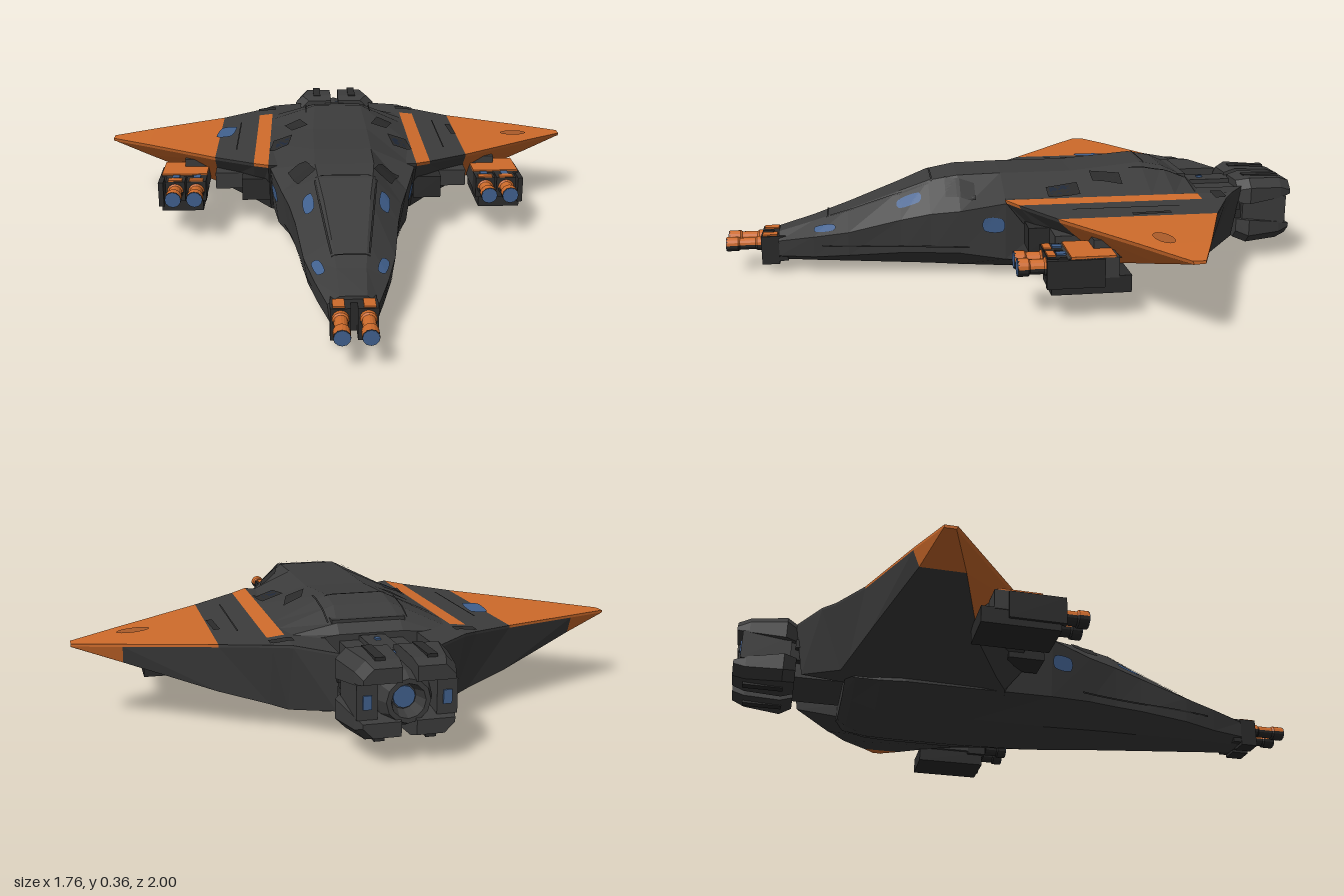
import * as THREE from 'three';

const paint = (name, color) => {
  const m = new THREE.MeshStandardMaterial({ color });
  m.name = name;
  return m;
};
const profile = pts => pts.map(p => new THREE.Vector2(...p));

export function createModel() {
  const ship = new THREE.Group();
  ship.name = 'spaceship';
  const grey = paint('hull grey', 0x3c3c3c);
  const dark = paint('dark metal', 0x2b2b2b);
  const orange = paint('orange paint', 0xcf6b2b);
  const blue = paint('blue glass', 0x41618f);
  const navy = paint('vent navy', 0x1f2838);
  const rust = paint('worn orange', 0xac5c2a);

  const add = (name, geo, mat, x = 0, y = 0, z = 0, parent = ship) => {
    const m = new THREE.Mesh(geo, mat);
    m.name = name;
    m.position.set(x, y, z);
    parent.add(m);
    return m;
  };
  const box = (name, mat, x, y, z, w, h, d) =>
    add(name, new THREE.BoxGeometry(w, h, d), mat, x, y, z);

  // Flat-faced closed loft; matAt(i, j) picks the colour of each face
  function loft(name, rings, matAt) {
    const buckets = new Map();
    let volume = 0;
    const tri = (m, a, b, c) => {
      if (!buckets.has(m)) buckets.set(m, []);
      buckets.get(m).push([a, b, c]);
      volume += a.dot(b.clone().cross(c));
    };
    const n = rings[0].length, last = rings.length - 1;
    for (let i = 0; i < last; i++)
      for (let j = 0; j < n; j++) {
        const k = (j + 1) % n, m = matAt(i, j);
        tri(m, rings[i][j], rings[i + 1][j], rings[i + 1][k]);
        tri(m, rings[i][j], rings[i + 1][k], rings[i][k]);
      }
    for (let j = 1; j < n - 1; j++) {
      tri(matAt(0, -1), rings[0][0], rings[0][j], rings[0][j + 1]);
      tri(matAt(last - 1, -1), rings[last][0], rings[last][j + 1], rings[last][j]);
    }
    const pts = [], geo = new THREE.BufferGeometry(), mats = [...buckets.keys()];
    mats.forEach((m, g) => {
      const tris = buckets.get(m);
      geo.addGroup(pts.length, tris.length * 3, g);
      for (const [a, b, c] of tris) pts.push(a, ...(volume > 0 ? [b, c] : [c, b]));
    });
    geo.setFromPoints(pts);
    geo.computeVertexNormals();
    return add(name, geo, mats);
  }

  // Fuselage: z, then half widths and heights from belly to roof
  const fuselage = loft('fuselage', [
    [0.82, 0.04, 0.04, 0.07, 0.06, 0.076, 0.115, 0.04, 0.14],
    [0.70, 0.055, 0.035, 0.1, 0.06, 0.113, 0.135, 0.045, 0.175],
    [0.58, 0.065, 0.03, 0.13, 0.07, 0.143, 0.155, 0.055, 0.215],
    [0.40, 0.08, 0.022, 0.155, 0.08, 0.168, 0.2, 0.075, 0.28],
    [0.30, 0.09, 0.018, 0.17, 0.08, 0.188, 0.222, 0.09, 0.318],
    [0.20, 0.1, 0.012, 0.19, 0.08, 0.214, 0.235, 0.1, 0.335],
    [0.05, 0.11, 0.004, 0.23, 0.065, 0.255, 0.268, 0.1, 0.338],
    [-0.20, 0.12, 0, 0.26, 0.05, 0.262, 0.282, 0.1, 0.338],
    [-0.45, 0.12, 0, 0.26, 0.05, 0.262, 0.282, 0.09, 0.36],
    [-0.53, 0.12, 0.002, 0.25, 0.05, 0.262, 0.282, 0.09, 0.345],
    [-0.61, 0.11, 0.03, 0.23, 0.06, 0.25, 0.278, 0.1, 0.308],
    [-0.64, 0.1, 0.05, 0.2, 0.08, 0.22, 0.268, 0.1, 0.28],
  ].map(([z, ...p]) => {
    const half = [0, 2, 4, 6].map(i => new THREE.Vector3(p[i], p[i + 1], z));
    return [...half, ...half.map(v => new THREE.Vector3(-v.x, v.y, z)).reverse()];
  }), () => grey);

  // Wings: x, lead z, trail z, top y, belly front z, belly rear z, belly y at front and rear
  const wingRows = [
    [0.145, 0.03, -0.81, 0.272, -0.1, -0.78, 0.03, 0.09],
    [0.262, 0.055, -0.735, 0.283, -0.12, -0.66, 0.055, 0.065],
    [0.315, 0.015, -0.695, 0.277, -0.16, -0.64, 0.072, 0.08],
    [0.46, -0.09, -0.615, 0.267, -0.25, -0.59, 0.115, 0.115],
    [0.73, -0.29, -0.505, 0.257, -0.345, -0.485, 0.195, 0.195],
    [0.88, -0.40, -0.44, 0.25, -0.405, -0.435, 0.24, 0.24],
  ];
  const wings = [1, -1].map(s => loft(s > 0 ? 'leftWing' : 'rightWing',
    wingRows.map(([x, lead, trail, top, bf, br, yf, yr]) => [
      [lead, top], [lead - 0.005, top - 0.012], [bf, yf], [br, yr], [trail, top - 0.008],
      [trail, top], [Math.max(trail + 0.008, -0.61), top],
    ].map(([z, y]) => new THREE.Vector3(s * x, y, z))),
    (i, j) => {
      if (i === 4) return orange;
      if (i === 3) return j === 2 || j === 3 ? grey : orange;
      return i === 1 && (j === 0 || j === 6) ? orange : grey;
    }));

  // Thin painted plates that follow the hull; side 0 is projected from above (x, z), +-1 from a flank (z, y)
  const caster = new THREE.Raycaster();
  const hull = [fuselage, ...wings];
  ship.updateMatrixWorld(true);
  function patch(name, mat, side, a, b, w, l, skew = 0, round = 0) {
    const N = 8, pts = [], grid = [];
    for (let i = 0; i <= N; i++)
      for (let j = 0; j <= N; j++) {
        const s = i / N * 2 - 1, t = j / N * 2 - 1;
        const u = s * Math.sqrt(1 - round * t * t / 2), v = t * Math.sqrt(1 - round * s * s / 2);
        const p = a + (u * w + v * l * skew) / 2, q = b + v * l / 2;
        if (side) caster.set(new THREE.Vector3(2 * side, q, p), new THREE.Vector3(-side, 0, 0));
        else caster.set(new THREE.Vector3(p, 2, q), new THREE.Vector3(0, -1, 0));
        const hit = caster.intersectObjects(hull, false)[0];
        grid.push(hit && hit.point.addScaledVector(caster.ray.direction, -0.005));
      }
    for (let i = 0; i < N; i++)
      for (let j = 0; j < N; j++) {
        const k = i * (N + 1) + j;
        const [A, B, C, D] = [grid[k], grid[k + 1], grid[k + N + 2], grid[k + N + 1]];
        if (!A || !B || !C || !D) continue;
        const up = new THREE.Vector3().crossVectors(B.clone().sub(A), C.clone().sub(A));
        if (up.dot(caster.ray.direction) < 0) pts.push(A, B, C, A, C, D);
        else pts.push(A, C, B, A, D, C);
      }
    const geo = new THREE.BufferGeometry().setFromPoints(pts);
    geo.computeVertexNormals();
    add(name, geo, mat);
  }
  patch('wingBluePatch', blue, 0, -0.436, -0.388, 0.066, 0.135, -0.13, 0.5);
  patch('wingWornPatch', rust, 0, 0.69, -0.37, 0.1, 0.06, -0.4, 1);
  patch('wingSlot', dark, 0, 0.445, -0.4, 0.02, 0.13, 0.05);
  for (const s of [1, -1]) {
    patch('canopyWindow', blue, 0, s * 0.125, 0.37, 0.034, 0.085, -s * 0.15, 0.7);
    patch('noseWindow', blue, 0, s * 0.1, 0.66, 0.028, 0.075, -s * 0.3, 0.7);
    patch('shoulderVent', dark, 0, s * 0.22, -0.15, 0.07, 0.11, s * 0.12);
    patch('shoulderGrille', navy, 0, s * 0.215, -0.14, 0.045, 0.07, s * 0.12);
    patch('forwardVent', dark, 0, s * 0.145, 0.195, 0.06, 0.1, -s * 0.35);
    patch('rearVent', dark, 0, s * 0.285, -0.675, 0.07, 0.04, 0);
    patch('dorsalVent', dark, 0, s * 0.165, -0.31, 0.06, 0.1, -s * 0.3);
    patch('canopySeam', dark, 0, s * 0.08, 0.47, 0.006, 0.34, -s * 0.13);
    patch('wingSeam', dark, 0, s * 0.385, -0.33, 0.005, 0.36, 0);
    patch('hatchSeam', dark, 0, s * 0.125, -0.5, 0.005, 0.2, 0);
    patch('flankWindow', blue, s, 0.09, 0.19, 0.075, 0.055, 0, 0.7);
    patch('flankSeam', dark, s, 0.42, 0.105, 0.5, 0.006);
  }
  for (const [z, w] of [[-0.46, 0.2], [0.29, 0.2], [0.65, 0.12]])
    patch('roofSeam', dark, 0, 0, z, w, 0.006);

  // Gun barrel: orange upper half, dark lower half and muzzle, blue lens
  function barrel(x, y, z, len, r) {
    const g = new THREE.Group();
    g.name = 'gun';
    g.position.set(x, y, z);
    ship.add(g);
    [[orange, Math.PI / 2], [dark, -Math.PI / 2]].forEach(([mat, start]) => {
      const geo = new THREE.LatheGeometry(profile([[0, 0], [r, 0], [r, len * 0.3],
        [r * 0.82, len * 0.34], [r * 0.82, len * 0.7], [r, len * 0.74], [r, len]]), 8, start, Math.PI).toNonIndexed();
      geo.computeVertexNormals();
      geo.rotateX(Math.PI / 2);
      add(mat === orange ? 'barrelTop' : 'barrelBottom', geo, mat, 0, 0, 0, g);
    });
    const disc = (name, radius, mat, at) =>
      add(name, new THREE.CylinderGeometry(radius, radius, 0.004, 12).rotateX(Math.PI / 2), mat, 0, 0, at, g);
    disc('muzzle', r, dark, len - 0.002);
    disc('lens', r * 0.95, blue, len);
  }

  // Nose guns
  box('noseMount', dark, 0, 0.085, 0.815, 0.135, 0.09, 0.05);
  for (const s of [1, -1]) {
    box('noseBracket', dark, s * 0.04, 0.08, 0.85, 0.06, 0.1, 0.06);
    box('noseBracketPaint', orange, s * 0.045, 0.132, 0.85, 0.035, 0.006, 0.05);
    barrel(s * 0.04, 0.1, 0.85, 0.148, 0.025);
  }

  for (const s of [1, -1]) {
    // Under-wing gun pods
    box('podBody', grey, s * 0.575, 0.165, -0.165, 0.165, 0.065, 0.16);
    box('podPaint', orange, s * 0.575, 0.199, -0.165, 0.165, 0.008, 0.14);
    box('podKeel', dark, s * 0.58, 0.11, -0.16, 0.15, 0.055, 0.25);
    box('podFin', dark, s * 0.655, 0.15, -0.11, 0.018, 0.09, 0.18);
    box('podPylon', grey, s * 0.54, 0.2, -0.25, 0.08, 0.06, 0.14);
    for (const x of [0.527, 0.603]) {
      box('podSleeve', dark, s * x, 0.16, -0.06, 0.07, 0.074, 0.07);
      box('podSleevePaint', orange, s * x, 0.199, -0.04, 0.05, 0.006, 0.025);
      box('podLight', blue, s * x, 0.199, -0.072, 0.026, 0.006, 0.03);
      barrel(s * x, 0.16, -0.06, 0.122, 0.029);
    }
    // Machinery under the wing root
    box('rootIntake', dark, s * 0.31, 0.17, -0.07, 0.1, 0.08, 0.12);
    box('rootDuct', grey, s * 0.40, 0.18, -0.14, 0.12, 0.06, 0.12);
    // Open trench beside the tail spine
    box('trenchRail', dark, s * 0.114, 0.18, -0.73, 0.03, 0.06, 0.22);
    for (let i = 0; i < 6; i++)
      box('trenchRib', dark, s * 0.125, 0.2, -0.65 - i * 0.03, 0.05, 0.03, 0.014);
  }

  // Tail spine leading to the engine
  box('tailSpine', grey, 0, 0.18, -0.72, 0.2, 0.16, 0.24);
  box('spineHatch', grey, 0, 0.293, -0.54, 0.23, 0.05, 0.14);
  box('spineRidge', grey, 0, 0.265, -0.73, 0.08, 0.02, 0.17);
  box('spineLight', blue, 0, 0.277, -0.7, 0.015, 0.008, 0.02);

  // Engine: round central nozzle held between chamfered housings
  const nozzle = new THREE.LatheGeometry(profile([[0, 0], [0.07, 0], [0.085, 0.06], [0.08, 0.14],
    [0.064, 0.175], [0.05, 0.175], [0.036, 0.13], [0, 0.13]]), 12).toNonIndexed();
  nozzle.computeVertexNormals();
  nozzle.rotateX(-Math.PI / 2);
  add('nozzle', nozzle, grey, 0, 0.178, -0.815);
  add('nozzleGlow', new THREE.CylinderGeometry(0.032, 0.032, 0.006, 12).rotateX(Math.PI / 2), blue, 0, 0.178, -0.948);
  for (const s of [1, -1]) {
    for (const t of [1, -1]) {
      const ring = (z, x0, x1, y0, y1) => [[x0, y0], [x1, y0], [x1, y1 - 0.03], [x1 - 0.03, y1], [x0, y1]]
        .map(([x, y]) => new THREE.Vector3(s * x, 0.18 + t * y, z));
      loft('engineHousing', [ring(-0.8, 0.015, 0.14, 0.03, 0.105), ring(-0.84, 0.015, 0.167, 0.03, 0.118),
        ring(-0.96, 0.018, 0.145, 0.045, 0.112), ring(-1, 0.022, 0.132, 0.055, 0.098)], () => grey);
      box('housingRib', dark, s * 0.075, 0.18 + t * 0.114, -0.9, 0.03, 0.012, 0.13);
    }
    box('sideHousing', grey, s * 0.115, 0.18, -0.9, 0.06, 0.1, 0.16);
    box('sideLight', blue, s * 0.115, 0.18, -0.982, 0.025, 0.04, 0.006);
  }
  box('engineTopLight', blue, 0.01, 0.268, -0.82, 0.08, 0.008, 0.02);
  return ship;
}
